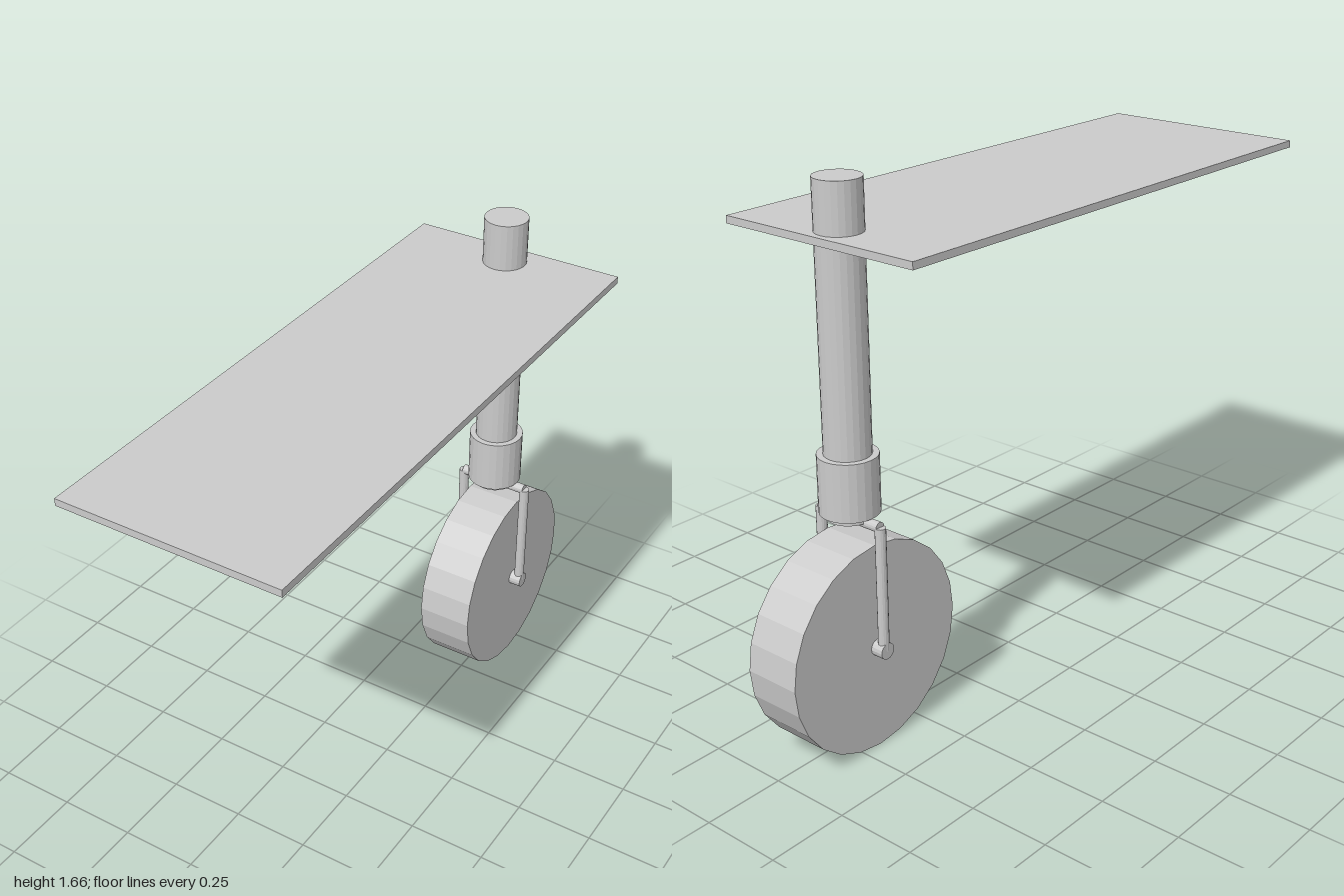
import * as THREE from 'three';

const Z = -0.683; // the post, fork and wheel share this plane
const WHEEL_R = 0.318;

export function createModel() {
  const model = new THREE.Group();
  const material = new THREE.MeshStandardMaterial({ color: 0xcccccc, flatShading: true });

  function add(name, geometry, x, y, z, parent = model) {
    const mesh = new THREE.Mesh(geometry, material);
    mesh.name = name;
    mesh.position.set(x, y, z);
    parent.add(mesh);
    return mesh;
  }

  // Upright cylinder between two heights
  function upright(name, r, y0, y1, x = 0, sides = 24, parent = model) {
    return add(name, new THREE.CylinderGeometry(r, r, y1 - y0, sides), x, (y0 + y1) / 2, Z, parent);
  }

  // Cylinder lying along x between two ends
  function crosswise(name, r, x0, x1, y, sides = 24, parent = model) {
    const geometry = new THREE.CylinderGeometry(r, r, x1 - x0, sides).rotateZ(Math.PI / 2);
    return add(name, geometry, (x0 + x1) / 2, y, Z, parent);
  }

  // Deck made of two long boards that meet on the centre line
  const deck = new THREE.Group();
  deck.name = 'deck';
  model.add(deck);
  for (const [name, side] of [['leftBoard', 1], ['rightBoard', -1]]) {
    add(name, new THREE.BoxGeometry(0.34, 0.022, 1.77), side * 0.17, 1.503, 0.115, deck);
  }

  // Post through the deck, with its collar
  upright('post', 0.068, 0.7, 1.66);
  upright('collar', 0.087, 0.717, 0.89);

  // Fork: crossbar, two legs with rounded elbows, and axle ends
  const fork = new THREE.Group();
  fork.name = 'fork';
  model.add(fork);
  crosswise('crossbar', 0.016, -0.114, 0.114, 0.699, 16, fork);
  for (const [name, side] of [['left', 1], ['right', -1]]) {
    upright(name + 'Leg', 0.016, 0.32, 0.699, side * 0.115, 16, fork);
    const ends = [side * 0.085, side * 0.13].sort((a, b) => a - b);
    crosswise(name + 'AxleEnd', 0.025, ends[0], ends[1], 0.32, 16, fork);
  }

  // Solid wheel
  crosswise('wheel', WHEEL_R, -0.09, 0.09, WHEEL_R + 0.001, 24);

  return model;
}
